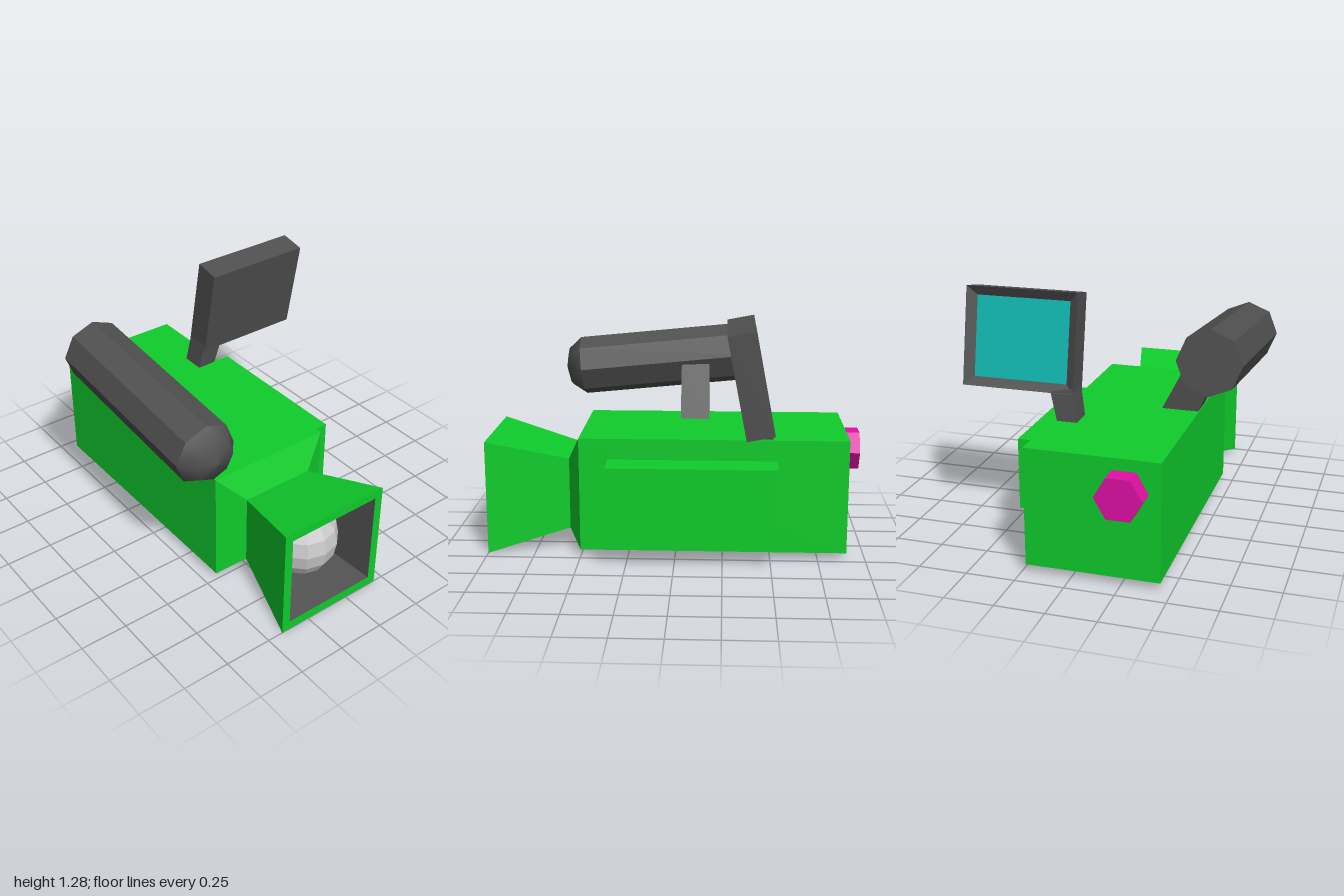
import * as THREE from 'three';

const mat = (color, flatShading = true) => new THREE.MeshStandardMaterial({ color, flatShading });
const green = mat(0x10cc2c);
const dark = mat(0x505050);
const darkSmooth = mat(0x505050, false);
const pink = mat(0xe010a4);
const cyan = mat(0x10b8b0);
const glass = mat(0xcccccc);

// Rectangular cross-section, counter-clockwise seen from +z
const rect = (x0, x1, y0, y1, z) => [[x0, y0, z], [x1, y0, z], [x1, y1, z], [x0, y1, z]];

// Skin between four-cornered rings, with optional end caps
function loft(rings, capStart = true, capEnd = true) {
  const pos = [];
  const quad = (a, b, c, d) => pos.push(...a, ...b, ...c, ...a, ...c, ...d);
  for (let i = 0; i < rings.length - 1; i++) {
    for (let j = 0; j < 4; j++) {
      const k = (j + 1) % 4;
      quad(rings[i][j], rings[i][k], rings[i + 1][k], rings[i + 1][j]);
    }
  }
  if (capStart) quad(...[...rings[0]].reverse());
  if (capEnd) quad(...rings[rings.length - 1]);
  const g = new THREE.BufferGeometry();
  g.setAttribute('position', new THREE.Float32BufferAttribute(pos, 3));
  g.computeVertexNormals();
  return g;
}

function add(parent, name, geometry, material, x = 0, y = 0, z = 0) {
  const m = new THREE.Mesh(geometry, material);
  m.name = name;
  m.position.set(x, y, z);
  parent.add(m);
  return m;
}

export function createModel() {
  const model = new THREE.Group();
  model.name = 'videoCamera';

  // Body, pinched neck, flared hood and its front rim
  const opening = rect(-0.37, 0.15, 0.05, 0.565, 1);
  add(model, 'bodyAndHood', loft([
    rect(-0.445, 0.23, 0.04, 0.645, -0.9),
    rect(-0.445, 0.23, 0.04, 0.645, 0.5),
    rect(-0.305, 0.09, 0.115, 0.5, 0.57),
    rect(-0.415, 0.195, 0, 0.61, 1),
    opening,
  ], true, false), green);

  // Dark recess inside the hood, with the lens
  add(model, 'hoodRecess', loft([opening, rect(-0.315, 0.095, 0.1, 0.515, 0.78)], false, true), dark);
  const lens = add(model, 'lens', new THREE.SphereGeometry(0.2, 12, 8), glass, -0.108, 0.308, 0.76);
  lens.scale.set(0.95, 1.02, 0.95);

  // Side pod
  add(model, 'sidePod', new THREE.BoxGeometry(0.195, 0.38, 0.88), green, 0.3075, 0.345, -0.09);

  // Hexagonal eyepiece
  const eye = new THREE.CylinderGeometry(0.118, 0.118, 0.12, 6);
  eye.rotateY(Math.PI / 2).rotateX(Math.PI / 2).rotateZ(Math.PI / 2);
  eye.computeBoundingBox();
  // keep the corners pointing sideways
  if (eye.boundingBox.max.x < eye.boundingBox.max.y) eye.rotateZ(Math.PI / 2);
  add(model, 'eyepiece', eye, pink, -0.268, 0.483, -0.94);

  // Octagonal microphone with a domed tip, nose tilted down
  const mic = new THREE.Group();
  mic.name = 'microphone';
  mic.position.set(-0.548, 0.937, 0.067);
  mic.rotation.x = 0.097;
  model.add(mic);
  add(mic, 'microphoneBarrel', new THREE.CylinderGeometry(0.165, 0.165, 0.99, 8).rotateX(Math.PI / 2), dark);
  const dome = [[0.165, 0], [0.105, 0.075], [0, 0.1]].map(p => new THREE.Vector2(...p));
  add(mic, 'microphoneTip', new THREE.LatheGeometry(dome, 8).rotateX(Math.PI / 2), darkSmooth, 0, 0, 0.495);

  // Slanted microphone bracket
  const slant = z => [[-0.43, 0.62, z], [-0.238, 0.62, z], [-0.395, 0.93, z], [-0.565, 0.93, z]];
  add(model, 'microphoneBracket', loft([slant(-0.168), slant(-0.012)]), dark);

  // Viewing screen: slab with a bevelled recess in its back
  const screen = new THREE.Group();
  screen.name = 'screen';
  screen.position.set(0.415, 1.018, -0.38);
  screen.rotation.x = 0.19;
  model.add(screen);
  const inner = rect(-0.248, 0.248, -0.207, 0.207, -0.034);
  const slab = z => rect(-0.295, 0.295, -0.252, 0.252, z);
  add(screen, 'screenFrame', loft([inner, slab(-0.069), slab(0.069)], false, true), dark);
  add(screen, 'screenDisplay', loft([inner], true, false), cyan);

  // Leaning screen bracket
  add(model, 'screenBracket', loft([
    [[0.092, 0.62, -0.51], [0.195, 0.62, -0.51], [0.238, 0.79, -0.493], [0.123, 0.81, -0.49]],
    [[0.092, 0.62, -0.385], [0.195, 0.62, -0.385], [0.238, 0.79, -0.365], [0.123, 0.81, -0.362]],
  ]), dark);

  return model;
}
